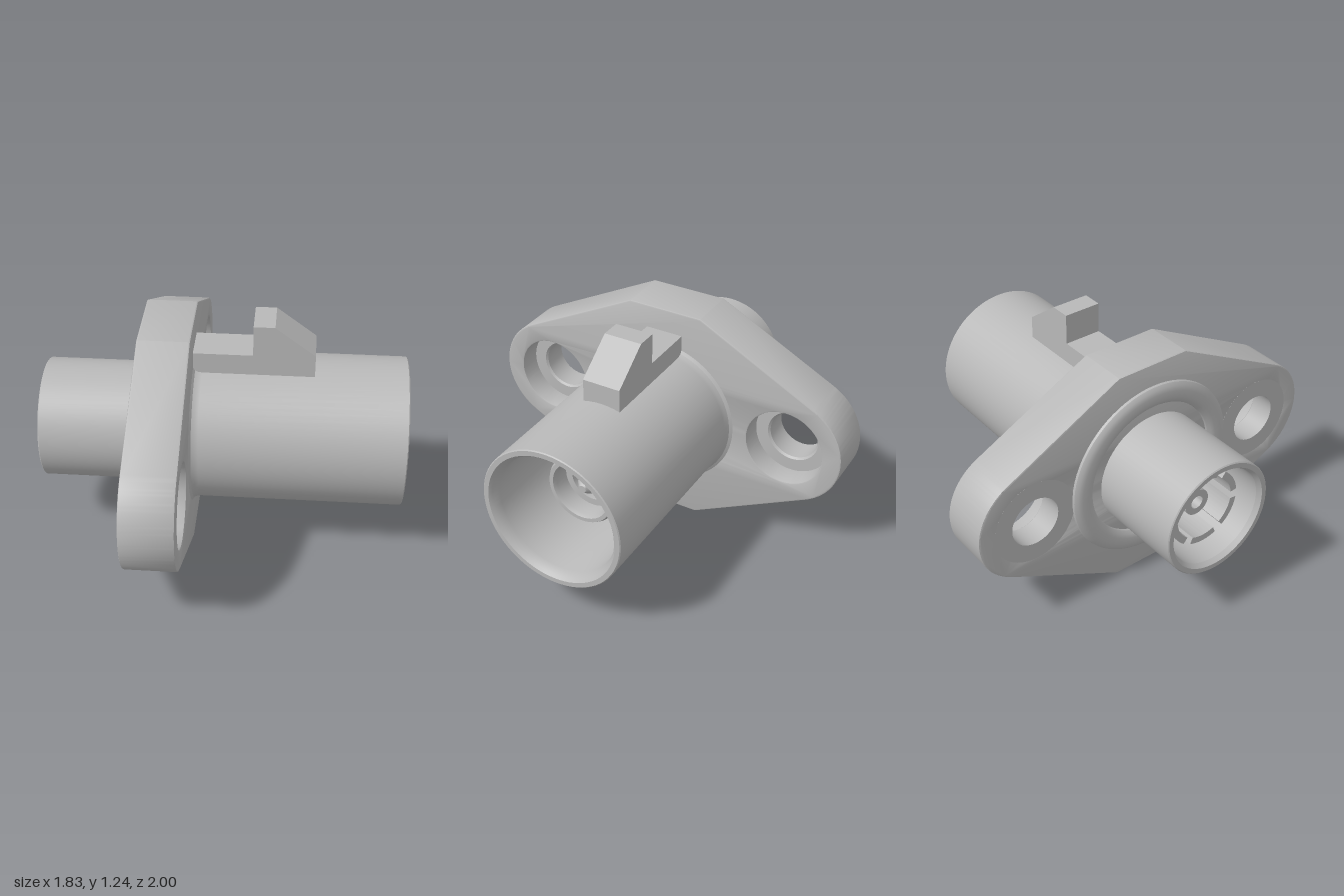
import * as THREE from 'three';
import { toCreasedNormals } from 'three/addons/utils/BufferGeometryUtils.js';

const AXIS_Y = 0.605; // height of the connector axis

export function createModel() {
  const model = new THREE.Group();
  model.name = 'flangedConnector';
  const grey = new THREE.MeshStandardMaterial({ color: 0xb8b8b8 });
  grey.name = 'grey';

  const add = (name, geometry, y = AXIS_Y, z = 0) => {
    const mesh = new THREE.Mesh(toCreasedNormals(geometry, 0.5), grey);
    mesh.name = name;
    mesh.position.set(0, y, z);
    model.add(mesh);
    return mesh;
  };
  // Solid of revolution about the x axis; points are [radius, x]
  const turned = (points, segments = 72) =>
    new THREE.LatheGeometry(points.map(([r, x]) => new THREE.Vector2(r, x)), segments)
      .rotateZ(-Math.PI / 2);

  // Flange: two rounded ends joined by tangents to flat top and bottom
  const cx = 0.69, R = 0.31, half = 0.6, flat = 0.2;
  const tangent = 1.096; // angle of the tangent point on each end
  const outline = new THREE.Shape();
  outline.moveTo(-flat, -half);
  outline.lineTo(flat, -half);
  outline.absarc(cx, 0, R, -tangent, tangent, false);
  outline.lineTo(flat, half);
  outline.lineTo(-flat, half);
  outline.absarc(-cx, 0, R, Math.PI - tangent, Math.PI + tangent, false);
  outline.closePath();
  for (const s of [-1, 1]) {
    const hole = new THREE.Path();
    hole.absarc(s * cx, 0, 0.207, 0, Math.PI * 2, true);
    outline.holes.push(hole);
  }
  const flange = new THREE.ExtrudeGeometry(outline, {
    depth: 0.244, bevelThickness: 0.008, bevelSize: 0.008, bevelOffset: -0.008,
    bevelSegments: 2, curveSegments: 32,
  });
  add('flange', flange.translate(0, 0, -0.402).rotateY(Math.PI / 2), 0.602);

  // Screw seats at the bottom of each counterbore
  for (const s of [-1, 1]) {
    add('screwSeat', turned([
      [0.13, -0.411], [0.225, -0.411], [0.212, -0.39], [0.212, -0.27],
      [0.14, -0.27], [0.13, -0.28], [0.13, -0.411],
    ], 48), 0.602, s * cx);
  }

  // Both barrels, hollow at each end
  add('barrels', turned([
    [0, -0.5], [0.26, -0.5], [0.26, -0.89], [0.275, -0.915], [0.3, -0.915],
    [0.305, -0.91], [0.305, -0.3], [0.405, -0.3], [0.405, -0.15], [0.39, -0.14],
    [0.383, -0.125], [0.38, -0.105], [0.38, 0.91], [0.375, 0.915], [0.35, 0.915],
    [0.337, 0.9], [0.322, 0.86], [0.322, -0.1], [0, -0.1],
  ]));

  // Rounded sealing ring on the back of the flange
  add('sealingRing', turned([
    [0.36, -0.4], [0.365, -0.42], [0.38, -0.435], [0.4, -0.441], [0.435, -0.441],
    [0.46, -0.435], [0.475, -0.422], [0.48, -0.4],
  ]));

  // Latch rail with ramped catch on top of the large barrel
  const latch = new THREE.Shape();
  [[-0.16, 0.94], [0.45, 0.94], [0.45, 1.09], [0.25, 1.24], [0.145, 1.24],
    [0.145, 1.08], [-0.16, 1.08]].forEach(([x, y], i) =>
    i ? latch.lineTo(x, y) : latch.moveTo(x, y));
  add('latch', new THREE.ExtrudeGeometry(latch, { depth: 0.2, bevelEnabled: false })
    .translate(0, 0, -0.1), 0);

  // Contact sleeve, insulator and pin in the large barrel
  add('contactSleeve', turned([
    [0.185, -0.11], [0.185, 0.64], [0.175, 0.66], [0.155, 0.66], [0.145, 0.64],
    [0.145, 0.56], [0.11, 0.56], [0.11, 0.5], [0, 0.5],
  ], 48));
  add('centrePin', turned([
    [0.05, 0.45], [0.05, 0.6], [0.02, 0.64], [0, 0.64],
  ], 24));

  // Slotted spring contact and socket in the small barrel
  const count = 6, step = Math.PI * 2 / count, gap = 0.12;
  for (let i = 0; i < count; i++) {
    const a = i * step + gap, b = (i + 1) * step - gap;
    const finger = new THREE.Shape();
    finger.absarc(0, 0, 0.2, a, b, false);
    finger.absarc(0, 0, 0.165, b, a, true);
    finger.closePath();
    add('springFinger', new THREE.ExtrudeGeometry(finger, {
      depth: 0.32, bevelEnabled: false, curveSegments: 10,
    }).translate(0, 0, -0.815).rotateY(Math.PI / 2));
  }
  add('centreSocket', turned([
    [0, -0.6], [0.035, -0.6], [0.035, -0.76], [0.07, -0.76], [0.07, -0.62],
    [0.12, -0.62], [0.12, -0.49],
  ], 32));

  return model;
}
